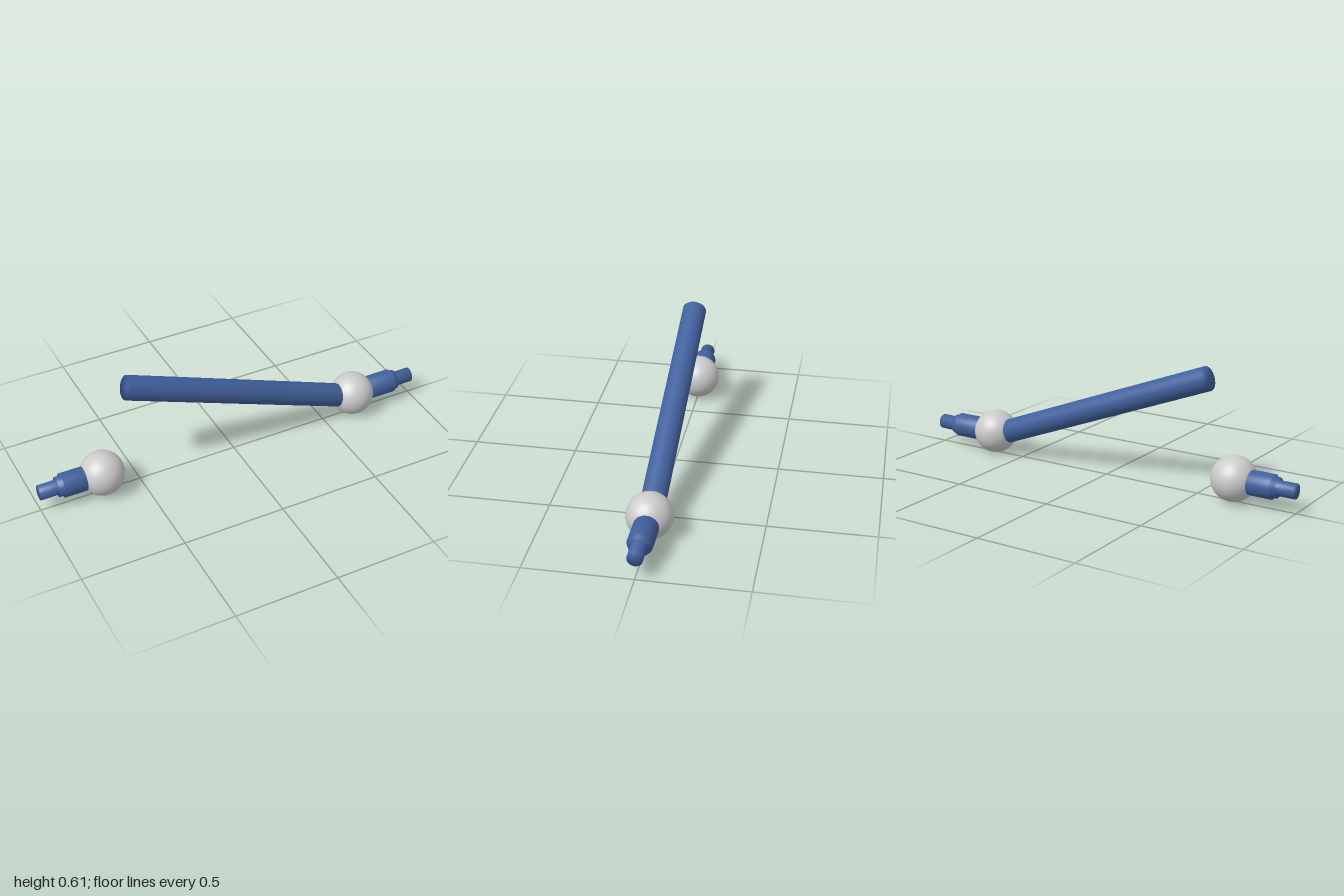
import * as THREE from 'three';

export function createModel() {
  const group = new THREE.Group();
  const blue = new THREE.MeshStandardMaterial({ color: 0x41609c });
  const grey = new THREE.MeshStandardMaterial({ color: 0xcccccc });

  // Turned part: profile of [radius, distance] pairs, laid along a direction from a start point
  function turned(name, profile, start, direction) {
    const points = profile.map(([r, d]) => new THREE.Vector2(r, d));
    const mesh = new THREE.Mesh(new THREE.LatheGeometry(points, 48), blue);
    mesh.name = name;
    mesh.position.copy(start);
    mesh.quaternion.setFromUnitVectors(new THREE.Vector3(0, 1, 0), direction);
    group.add(mesh);
  }

  // Ball joints and stepped end shafts on both sides
  for (const [side, sign, ballX] of [['left', 1, 0.663], ['right', -1, -0.687]]) {
    const ball = new THREE.Mesh(new THREE.SphereGeometry(0.107, 48, 32), grey);
    ball.name = side + 'Ball';
    ball.position.set(ballX, 0.107, 0);
    group.add(ball);

    const inner = 0.7;
    const profile = [
      [0, 0], [0.058, 0],
      [0.058, 0.888 - inner], [0.048, 0.888 - inner],
      [0.048, 0.912 - inner], [0.036, 0.912 - inner],
      [0.036, 1 - inner], [0, 1 - inner],
    ];
    turned(side + 'Shaft', profile,
      new THREE.Vector3(sign * inner, 0.105, -0.002), new THREE.Vector3(sign, 0, 0));
  }

  // Long sloping rod rising out of the left ball
  const low = new THREE.Vector3(0.6, 0.113, 0);
  const high = new THREE.Vector3(-0.543, 0.553, 0);
  const length = low.distanceTo(high);
  turned('slopingRod', [[0, 0], [0.058, 0], [0.058, length], [0, length]],
    low, high.clone().sub(low).normalize());

  return group;
}
